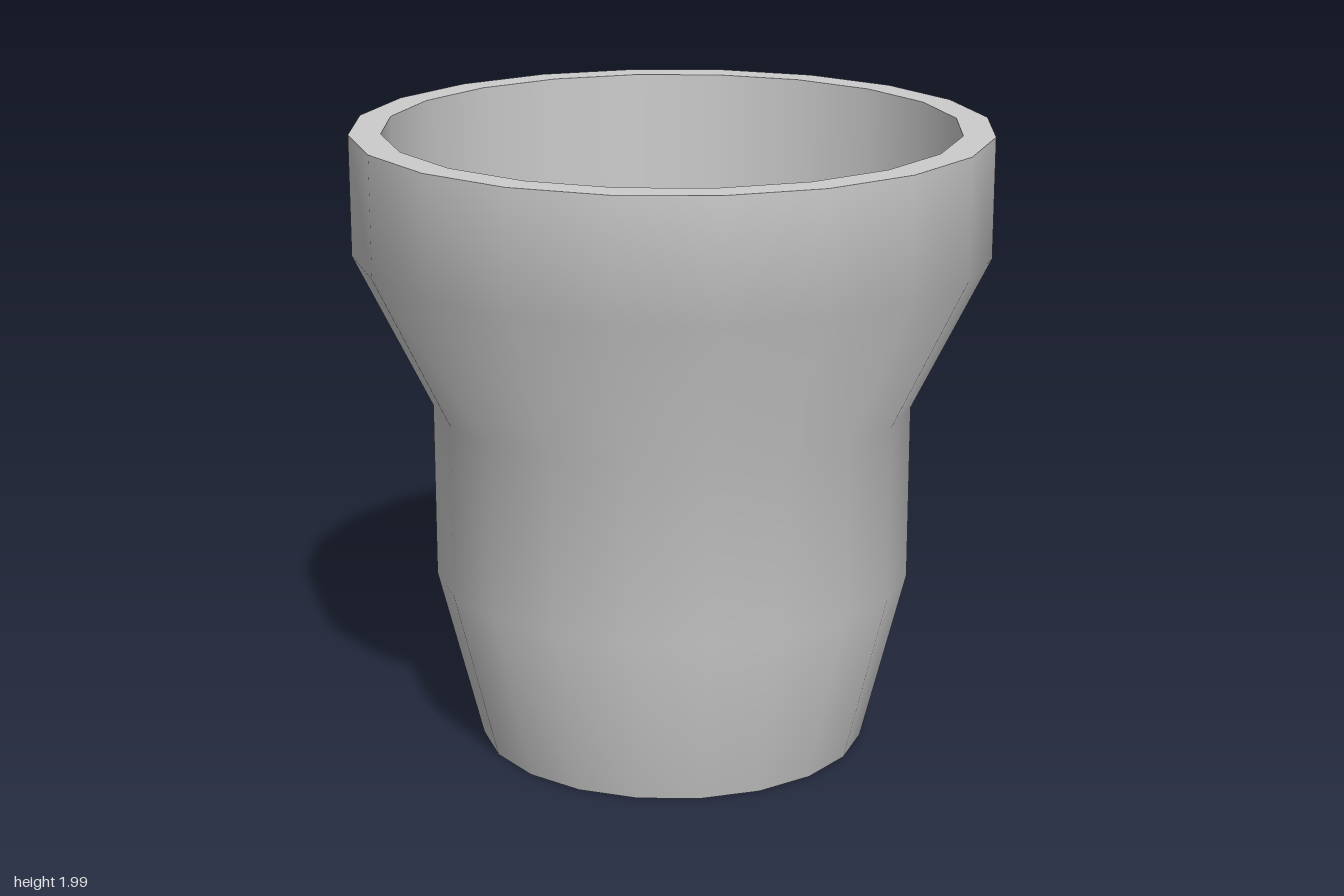
import * as THREE from 'three';

const SIDES = 20;
const material = new THREE.MeshStandardMaterial({ color: 0xcccccc });

// Revolve a profile of [radius, height] points; separate profiles keep the edges between them sharp
function revolve(name, profile) {
  const points = profile.map(([r, y]) => new THREE.Vector2(r, y));
  const mesh = new THREE.Mesh(new THREE.LatheGeometry(points, SIDES), material);
  mesh.name = name;
  return mesh;
}

export function createModel() {
  const pot = new THREE.Group();
  pot.name = 'pot';

  const baseRadius = 0.62, rimRadius = 1, innerRadius = 0.9;
  const height = 1.99, floorHeight = 1.44;

  pot.add(
    // Underside disc
    revolve('base', [[0, 0], [baseRadius, 0]]),
    // Tapered foot, straight waist, flare and upright collar
    revolve('outerWall', [[baseRadius, 0], [0.76, 0.56], [0.76, 1.12], [rimRadius, 1.61], [rimRadius, height]]),
    // Flat ring around the opening
    revolve('rim', [[rimRadius, height], [innerRadius, height]]),
    // Upright inside wall
    revolve('innerWall', [[innerRadius, height], [innerRadius, floorHeight]]),
    // Flat fill inside the opening
    revolve('innerFloor', [[innerRadius, floorHeight], [0, floorHeight]]),
  );
  return pot;
}
